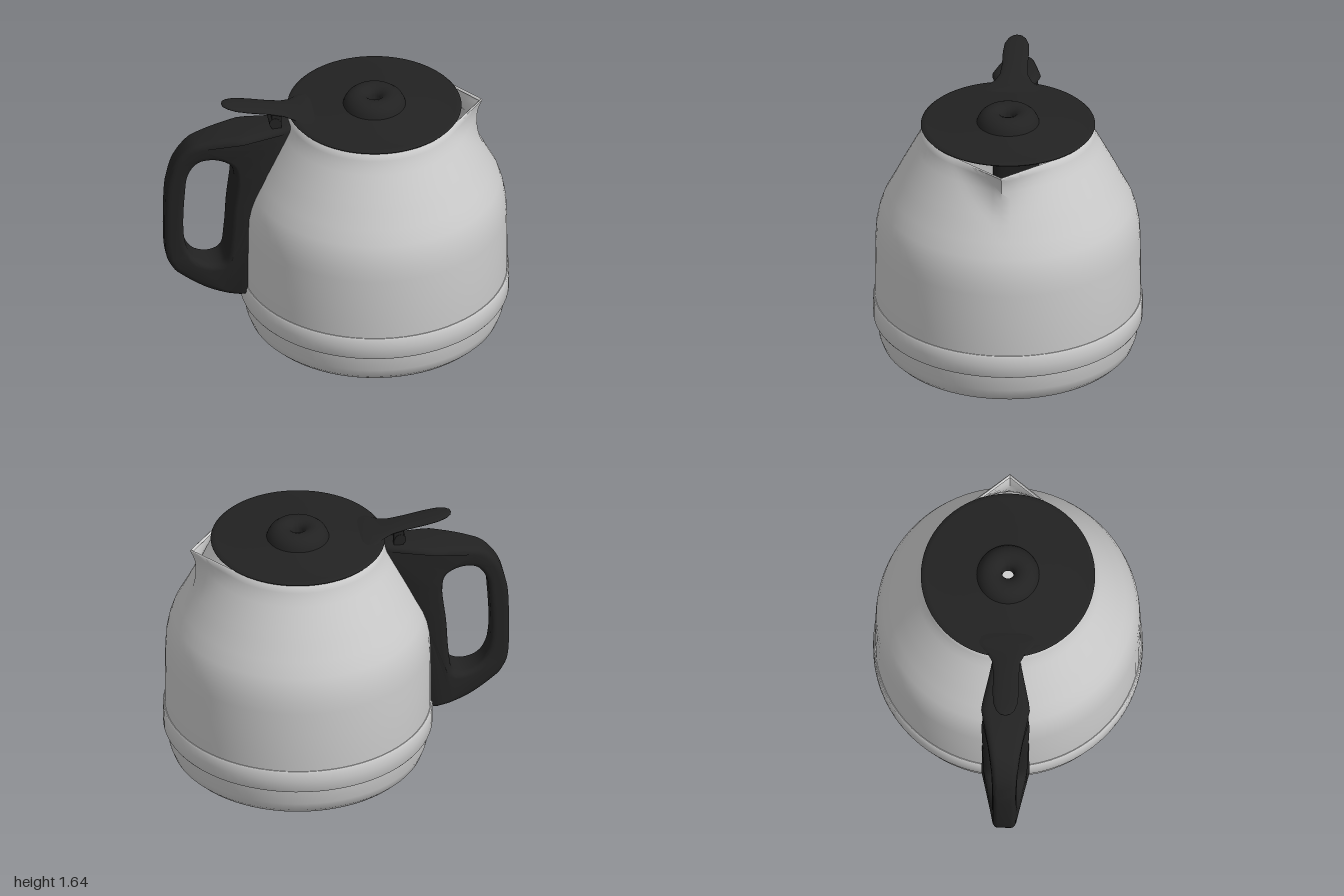
import * as THREE from 'three';
import { toCreasedNormals } from 'three/addons/utils/BufferGeometryUtils.js';

const steel = new THREE.MeshStandardMaterial({ color: 0xcccccc, side: THREE.DoubleSide });
const black = new THREE.MeshStandardMaterial({ color: 0x222222, side: THREE.DoubleSide });

const vec2 = (pts) => pts.map(([x, y]) => new THREE.Vector2(x, y));

function addPart(parent, name, geometry, material, crease = 0.6) {
  const mesh = new THREE.Mesh(toCreasedNormals(geometry, crease), material);
  mesh.name = name;
  parent.add(mesh);
  return mesh;
}

const lathe = (pts, segments = 72) => new THREE.LatheGeometry(vec2(pts), segments);

// Piecewise-linear lookup in a list of [x, value]
function lookup(table, x) {
  if (x <= table[0][0]) return table[0][1];
  for (let i = 1; i < table.length; i++) {
    const [x0, v0] = table[i - 1], [x1, v1] = table[i];
    if (x <= x1) return v0 + (v1 - v0) * (x - x0) / (x1 - x0);
  }
  return table[table.length - 1][1];
}

// Body whose upper wall is drawn out to a V-shaped pouring lip towards -x
function bodyGeometry() {
  const wall = [
    [0.001, 0], [0.6, 0], [0.67, 0.01], [0.73, 0.03], [0.765, 0.065], [0.785, 0.12], [0.797, 0.22],
    [0.808, 0.37], [0.808, 0.6], [0.805, 0.78], [0.8, 0.86], [0.785, 0.94], [0.762, 1.01],
    [0.715, 1.1], [0.666, 1.2], [0.64, 1.25], [0.614, 1.3], [0.588, 1.35], [0.562, 1.4],
    [0.542, 1.44], [0.528, 1.48], [0.518, 1.515], [0.508, 1.522], [0.5, 1.51],
  ];
  const g = lathe(wall);
  const pos = g.attributes.position;
  for (let i = 0; i < pos.count; i++) {
    const x = pos.getX(i), y = pos.getY(i), z = pos.getZ(i);
    if (y <= 1.2) continue;
    const r = Math.hypot(x, z);
    const tip = r + 0.15 * Math.min(1, (y - 1.2) / 0.32) ** 1.7;
    const spread = Math.acos(r / tip);
    const angle = Math.abs(Math.atan2(z, -x));
    if (angle >= spread) continue;
    const k = 1 / Math.cos(spread - angle);
    pos.setX(i, x * k);
    pos.setZ(i, z * k);
  }
  return g;
}

// Handle: side outline with finger hole, widened towards the body
function handleGeometry() {
  const outer = new THREE.SplineCurve(vec2([
    [0.52, 1.48], [0.72, 1.465], [0.93, 1.44], [1.06, 1.41], [1.15, 1.37], [1.23, 1.27], [1.27, 1.15],
    [1.29, 1.0], [1.29, 0.64], [1.25, 0.51], [1.18, 0.44], [1.05, 0.36], [0.93, 0.32], [0.84, 0.31],
  ])).getPoints(60);
  const inner = vec2([[0.74, 0.31], [0.74, 0.85], [0.71, 1.0], [0.6, 1.2], [0.48, 1.45]]);
  const shape = new THREE.Shape([...outer, ...inner]);
  const hole = new THREE.CatmullRomCurve3([
    [1.17, 0.68], [1.17, 1.05], [1.15, 1.18], [1.09, 1.265], [0.99, 1.285], [0.9, 1.25],
    [0.875, 1.17], [0.9, 0.9], [0.915, 0.68], [0.94, 0.55], [1.01, 0.525], [1.11, 0.565],
  ].map(([x, y]) => new THREE.Vector3(x, y, 0)), true).getPoints(60);
  shape.holes.push(new THREE.Path(hole.slice(0, -1).map((p) => new THREE.Vector2(p.x, p.y))));
  const g = new THREE.ExtrudeGeometry(shape, {
    depth: 1.2, bevelThickness: 0.4, bevelSize: 0.035, bevelOffset: -0.035, bevelSegments: 5,
  });
  const halfWidth = [[0.5, 0.08], [0.82, 0.15], [1.0, 0.11], [1.17, 0.08], [1.29, 0.066]];
  const pos = g.attributes.position;
  for (let i = 0; i < pos.count; i++) {
    pos.setZ(i, (pos.getZ(i) - 0.6) * lookup(halfWidth, pos.getX(i)));
  }
  return g;
}

// Loft of elliptical sections along x, each [x, y, half width, half thickness]
function loft(sections, sides = 20) {
  const points = [], index = [];
  for (const [x, y, w, t] of sections) {
    for (let j = 0; j < sides; j++) {
      const a = (j / sides) * Math.PI * 2;
      points.push(x, y + t * Math.sin(a), w * Math.cos(a));
    }
  }
  for (let i = 0; i < sections.length - 1; i++) {
    for (let j = 0; j < sides; j++) {
      const a = i * sides + j, b = i * sides + (j + 1) % sides;
      index.push(a, a + sides, b, b, a + sides, b + sides);
    }
  }
  const g = new THREE.BufferGeometry();
  g.setAttribute('position', new THREE.Float32BufferAttribute(points, 3));
  g.setIndex(index);
  return g;
}

export function createModel() {
  const model = new THREE.Group();
  model.name = 'coffeePot';

  // Local +x runs towards the handle, -x towards the spout
  const pot = new THREE.Group();
  pot.name = 'pot';
  pot.position.z = -0.18;
  pot.rotation.y = -2.042;
  model.add(pot);

  addPart(pot, 'body', bodyGeometry(), steel, 0.9);
  addPart(pot, 'band', lathe([
    [0.79, 0.222], [0.812, 0.224], [0.819, 0.235], [0.82, 0.3], [0.819, 0.36], [0.812, 0.371], [0.79, 0.373],
  ]), steel);

  // Lid plate and domed knob with a vent hole
  addPart(pot, 'lid', lathe([
    [0.035, 1.526], [0.5, 1.526], [0.522, 1.529], [0.53, 1.538], [0.522, 1.546], [0.5, 1.549], [0.21, 1.551],
    [0.19, 1.556], [0.184, 1.575], [0.17, 1.6], [0.145, 1.621], [0.115, 1.631], [0.085, 1.629],
    [0.06, 1.618], [0.045, 1.602], [0.037, 1.585], [0.035, 1.526],
  ]), black, 0.8);

  addPart(pot, 'handle', handleGeometry(), black, 0.8);

  // Thumb lever flaring out of the lid
  addPart(pot, 'thumbLever', loft([
    [0.36, 1.542, 0, 0], [0.38, 1.543, 0.2, 0.008], [0.45, 1.547, 0.17, 0.012], [0.51, 1.554, 0.115, 0.014],
    [0.57, 1.567, 0.086, 0.017], [0.66, 1.585, 0.078, 0.018], [0.78, 1.607, 0.08, 0.017],
    [0.86, 1.622, 0.074, 0.015], [0.91, 1.631, 0.054, 0.013], [0.935, 1.635, 0.03, 0.009], [0.942, 1.636, 0, 0],
  ]), black, 1.0);

  // Hinge under the lever
  const pin = addPart(pot, 'hingePin', new THREE.CylinderGeometry(0.035, 0.035, 0.145, 20), black);
  pin.rotation.x = Math.PI / 2;
  pin.position.set(0.62, 1.51, 0);
  for (const side of [-1, 1]) {
    const lug = addPart(pot, 'hingeLug', new THREE.BoxGeometry(0.06, 0.1, 0.03), black);
    lug.position.set(0.61, 1.52, side * 0.055);
  }

  return model;
}
